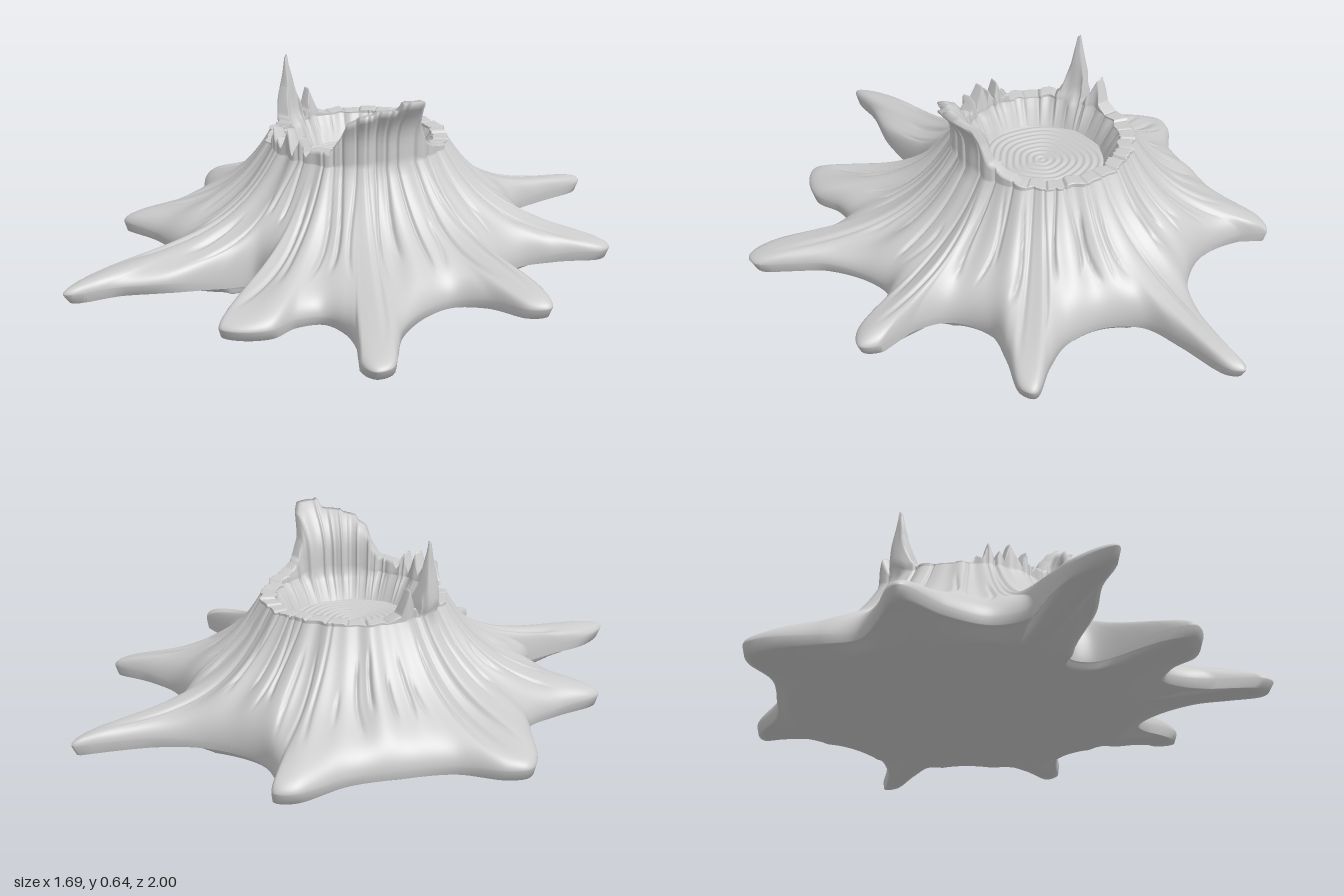
import * as THREE from 'three';

const CX = -0.05, CZ = -0.06;       // trunk axis
const N = 720;                      // samples around the trunk
const RIM_R = 0.31, RIM_Y = 0.4;

// Footprint of the roots seen from above (x, z), running clockwise
const OUTLINE = [
  [0.845, 0.02], [0.8, 0.07], [0.65, 0.09], [0.56, 0.14], [0.54, 0.24], [0.58, 0.4], [0.65, 0.5], [0.71, 0.59],
  [0.69, 0.64], [0.63, 0.64], [0.53, 0.55], [0.43, 0.5], [0.34, 0.5], [0.3, 0.58], [0.305, 0.68], [0.25, 0.76],
  [0.19, 0.79], [0.165, 0.76], [0.13, 0.68], [0.1, 0.58], [0.05, 0.48], [-0.02, 0.46], [-0.07, 0.55],
  [-0.13, 0.71], [-0.23, 0.86], [-0.28, 0.98], [-0.305, 1.0], [-0.325, 0.97], [-0.34, 0.86], [-0.31, 0.71],
  [-0.28, 0.59], [-0.35, 0.5], [-0.5, 0.47], [-0.67, 0.49], [-0.68, 0.45], [-0.64, 0.32], [-0.62, 0.19],
  [-0.7, 0.1], [-0.82, -0.02], [-0.85, -0.09], [-0.81, -0.15], [-0.68, -0.23], [-0.58, -0.38], [-0.51, -0.52],
  [-0.48, -0.71], [-0.43, -0.75], [-0.37, -0.68], [-0.21, -0.61], [-0.02, -0.66], [0.1, -0.77], [0.19, -0.92],
  [0.235, -1.0], [0.262, -0.96], [0.23, -0.78], [0.215, -0.63], [0.29, -0.52], [0.42, -0.47], [0.55, -0.49],
  [0.69, -0.53], [0.7, -0.48], [0.6, -0.36], [0.52, -0.24], [0.55, -0.1], [0.68, -0.04], [0.8, -0.03],
];

// Height of each root's tip: [degrees from +x towards +z, y]
const TIPS = [
  [-180, 0.05], [-121, 0.05], [-72, 0.055], [-32, 0.065], [5, 0.085], [43, 0.06], [73, 0.07], [88, 0.08],
  [103, 0.09], [139, 0.07], [180, 0.05],
];

// Height of the broken rim: [degrees, y]
const RIM = [
  [-180, 0.42], [-176, 0.44], [-171, 0.505], [-166, 0.43], [-155, 0.405], [-100, 0.415], [-40, 0.41], [-20, 0.42],
  [-8, 0.44], [0, 0.47], [5, 0.53], [8, 0.6], [13, 0.635], [24, 0.64], [26, 0.61], [36, 0.605], [38, 0.595],
  [45, 0.585], [47, 0.57], [52, 0.555], [57, 0.5], [63, 0.455], [76, 0.45], [79, 0.42], [84, 0.485], [89, 0.42],
  [96, 0.5], [101, 0.425], [104, 0.46], [107, 0.425], [111, 0.485], [115, 0.42], [118, 0.435], [122, 0.41],
  [155, 0.41], [161, 0.44], [167, 0.54], [170, 0.635], [172, 0.645], [176, 0.53], [180, 0.42],
];

const clamp = THREE.MathUtils.clamp, lerp = THREE.MathUtils.lerp, smooth = THREE.MathUtils.smoothstep;

// Linear lookup in a table of [key, value] sorted by key
function lookup(table, k) {
  let i = 1;
  while (i < table.length - 1 && table[i][0] < k) i++;
  const [a, b] = [table[i - 1], table[i]];
  return lerp(a[1], b[1], clamp((k - a[0]) / (b[0] - a[0] || 1), 0, 1));
}

function makeRandom(seed) {
  return () => (seed = (seed * 16807) % 2147483647) / 2147483647;
}

// Footprint as a table of [angle, radius] about the trunk axis
function footprint() {
  const curve = new THREE.CatmullRomCurve3(OUTLINE.map(([x, z]) => new THREE.Vector3(x - CX, 0, z - CZ)), true);
  const table = curve.getPoints(900).map(p => [Math.atan2(p.z, p.x), Math.hypot(p.x, p.z)]);
  table.sort((a, b) => a[0] - b[0]);
  const first = table[0], last = table[table.length - 1];
  return [[last[0] - 2 * Math.PI, last[1]], ...table, [first[0] + 2 * Math.PI, first[1]]];
}

// Bark grooves: each has an angle, a width, a depth, a reach and a slight bend
function makeGrooves() {
  const rnd = makeRandom(4711), list = [];
  for (let i = 0; i < 56; i++) {
    const start = rnd() < 0.6 ? -0.3 : rnd() * 0.35;
    list.push({
      a: -Math.PI + (i + 0.2 + 0.6 * rnd()) * 2 * Math.PI / 56, w: 0.011 + 0.005 * rnd(),
      d: 0.007 + 0.008 * rnd(), s0: start, s1: 0.6 + 0.35 * rnd(), bend: (rnd() - 0.5) * 0.12,
    });
  }
  return list;
}

function stumpGeometry() {
  const table = footprint(), grooves = makeGrooves(), rnd = makeRandom(99);
  const blocks = Array.from({ length: 30 }, () => (rnd() - 0.5) * 0.012);
  const groove = (a, s) => {
    let d = 0;
    for (const g of grooves) {
      const off = Math.abs(a - g.a - g.bend * Math.sin(s * 4));
      if (off > g.w * 2.5 || s > g.s1) continue;
      d += g.d * Math.exp(-((off / g.w) ** 2)) * smooth(s, g.s0, g.s0 + 0.1) * (1 - smooth(s, g.s1 - 0.2, g.s1));
    }
    return d;
  };

  // One column of [radius, y] from the base centre, over the roots and rim, into the hollow
  const column = a => {
    const deg = a * 180 / Math.PI;
    const R = lookup(table, a);
    const tip = lookup(TIPS, deg), far = smooth(R, 0.5, 0.82);
    const edgeY = lerp(0.04, tip, far);
    const ridgeY = lerp(0.085, tip + 0.035, far);
    const base = Math.min(R * 0.965, 0.58);
    const col = [[0, 0], [base * 0.5, 0], [base * 0.99, 0], [base, 0.002]];

    // underside of the roots
    for (const k of [0.3, 0.6, 0.85, 0.96]) {
      col.push([lerp(base, R, k), (edgeY - lerp(0.02, 0.034, far)) * smooth(k, 0, 0.9) + 0.002]);
    }

    // upper side of the roots, sweeping up into the trunk
    const flute = 0.004 * Math.sin(a * 17 + 1) + 0.003 * Math.sin(a * 29);
    const rows = 36;
    for (let i = 0; i <= rows; i++) {
      const s = 1 - (i / rows) ** 2;
      const r = lerp(RIM_R, R, s);
      const h = ridgeY + (RIM_Y - ridgeY) * Math.exp(-(r - RIM_R) / 0.17);
      const round = Math.sqrt(Math.max(0, 1 - s ** 7));
      const g = groove(a, s);
      const y = edgeY + (h - edgeY) * round + (flute * 1.5 - g * 0.8) * Math.sin(Math.PI * s);
      col.push([r + (flute - g * 0.6) * (1 - s), y]);
    }

    // broken rim, with the tall shard curling outwards
    const block = (deg + 180) / 12;
    const cut = Math.exp(-(((block - Math.round(block)) / 0.07) ** 2));
    const notch = groove(a, 0);
    let top = lookup(RIM, deg);
    if (top < 0.43) top += blocks[Math.floor(block) % 30] - cut * 0.006;
    top = Math.max(top, RIM_Y + 0.003);
    const shard = smooth(deg, -5, 10) * (1 - smooth(deg, 50, 62));
    const spike = Math.exp(-(((deg - 171) / 7) ** 2));
    const outer = y => RIM_R + flute - notch * 0.6
      + shard * 0.085 * clamp((y - 0.48) / 0.15, 0, 1) ** 2
      + spike * 0.02 * smooth(y, 0.4, 0.43) * (1 - smooth(y, 0.43, 0.6));
    const thick = y => lerp(0.05 + spike * 0.02, lerp(0.014, 0.036, shard), clamp((y - 0.41) / 0.2, 0, 1));
    for (let i = 1; i <= 8; i++) {
      const y = lerp(RIM_Y, top, i / 8);
      col.push([outer(y) - (i === 8 ? 0.005 : 0), y]);
    }
    for (let i = 0; i <= 8; i++) {
      const y = lerp(top, RIM_Y, i / 8);
      col.push([outer(y) - thick(y) + (i ? 0 : 0.004), y - (i ? 0 : 0.001)]);
    }

    // wall of the hollow
    const inside = outer(RIM_Y) - thick(RIM_Y);
    for (let i = 1; i <= 5; i++) {
      const k = i / 5;
      col.push([lerp(inside, 0.208, k ** 0.9) + cut * 0.004 * (1 - k), lerp(RIM_Y, 0.305, k)]);
    }
    return col;
  };

  const pos = [], index = [];
  let rows = 0;
  for (let j = 0; j < N; j++) {
    const a = -Math.PI + (j / N) * 2 * Math.PI;
    const col = column(a);
    rows = col.length;
    for (const [r, y] of col) pos.push(CX + r * Math.cos(a), y, CZ + r * Math.sin(a));
  }
  for (let j = 0; j < N; j++) {
    for (let i = 0; i < rows - 1; i++) {
      const p = j * rows + i, q = ((j + 1) % N) * rows + i;
      if (i > 0) index.push(p, p + 1, q);
      index.push(p + 1, q + 1, q);
    }
  }
  const geo = new THREE.BufferGeometry();
  geo.setAttribute('position', new THREE.Float32BufferAttribute(pos, 3));
  geo.setIndex(index);
  geo.computeVertexNormals();
  return geo;
}

// Cut wood inside the hollow: rippled, slightly uneven growth rings
function ringsGeometry() {
  const profile = [];
  for (let i = 0; i <= 90; i++) {
    const r = 0.222 * (1 - i / 90);
    profile.push(new THREE.Vector2(r, 0.312 + 0.002 * Math.cos(r * 2 * Math.PI / 0.024)));
  }
  const geo = new THREE.LatheGeometry(profile, 96);
  const p = geo.attributes.position;
  for (let i = 0; i < p.count; i++) {
    const x = p.getX(i), z = p.getZ(i), a = Math.atan2(z, x);
    const k = 1 + 0.025 * Math.sin(3 * a + 1) + 0.03 * Math.sin(5 * a);
    p.setX(i, x * k);
    p.setZ(i, z * k);
  }
  geo.computeVertexNormals();
  return geo;
}

export function createModel() {
  const group = new THREE.Group();
  group.name = 'treeStump';
  const material = new THREE.MeshStandardMaterial({ color: 0xcccccc });
  const trunk = new THREE.Mesh(stumpGeometry(), material);
  trunk.name = 'trunkAndRoots';
  const rings = new THREE.Mesh(ringsGeometry(), material);
  rings.name = 'growthRings';
  rings.position.set(CX, 0, CZ);
  group.add(trunk, rings);
  return group;
}
